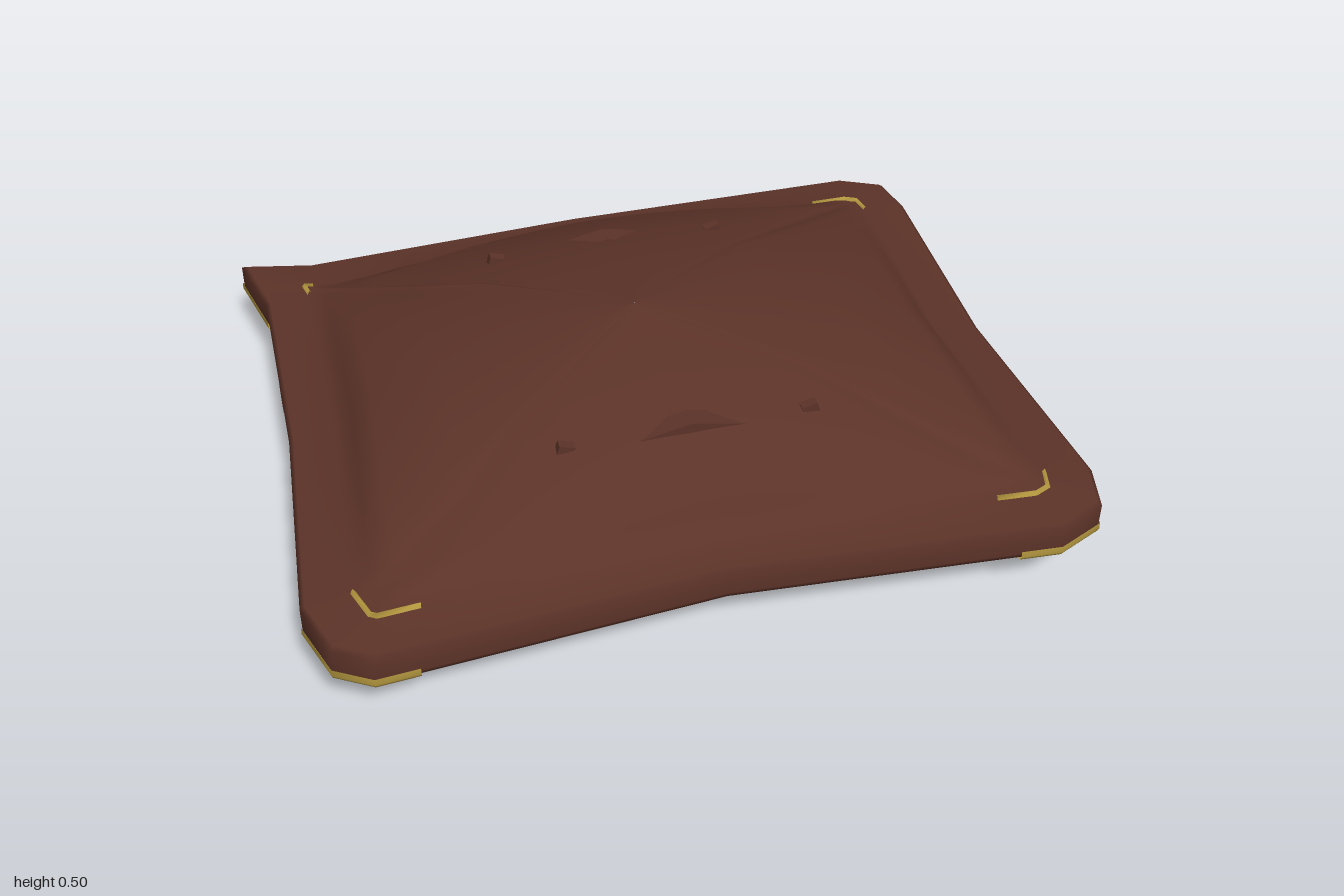
import * as THREE from 'three';

const leather = new THREE.MeshStandardMaterial({ color: 0x5c3328, side: THREE.DoubleSide });
leather.name = 'brown leather';
const brass = new THREE.MeshStandardMaterial({ color: 0xb2963e, side: THREE.DoubleSide });
brass.name = 'brass';

// Outer edge of the cover as [x, z], clockwise from above
const CORNERS = [
  [-1, -0.84], [-0.8, -0.795], [0, -0.84], [0.86, -0.84], [0.98, -0.78], [1, -0.65],
  [0.965, 0], [1, 0.65], [0.965, 0.78], [0.84, 0.835], [0, 0.77], [-0.86, 0.835],
  [-0.95, 0.78], [-1, 0.63], [-0.955, 0], [-0.95, -0.62],
].map(([x, z]) => new THREE.Vector2(x, z));

// Subdivided edge, each point with a mitred inward direction
function makeOutline() {
  const n = CORNERS.length;
  const normal = (a, b) => new THREE.Vector2(-(b.y - a.y), b.x - a.x).normalize();
  const miters = CORNERS.map((p, i) => {
    const n1 = normal(CORNERS[(i + n - 1) % n], p);
    const n2 = normal(p, CORNERS[(i + 1) % n]);
    const m = n1.clone().add(n2).normalize();
    return m.divideScalar(Math.max(m.dot(n1), 0.5));
  });
  const out = [];
  CORNERS.forEach((p, i) => {
    const j = (i + 1) % n;
    const steps = Math.ceil(p.distanceTo(CORNERS[j]) / 0.11);
    for (let k = 0; k < steps; k++) {
      const t = k / steps;
      out.push({ p: p.clone().lerp(CORNERS[j], t), m: miters[i].clone().lerp(miters[j], t) });
    }
  });
  return out;
}

const inset = ({ p, m }, d, y) => new THREE.Vector3(p.x + m.x * d, y, p.y + m.y * d);

// The underside hangs lower along the back
const bottomAt = ({ p }) => 0.145 - (p.y < -0.7 && Math.abs(p.x) < 0.9 ? 0.032 : 0);

// Skin rows of points into a smooth surface
function skin(rows, closed) {
  const w = rows[0].length;
  const pos = rows.flat().flatMap((v) => [v.x, v.y, v.z]);
  const idx = [];
  const last = closed ? rows.length : rows.length - 1;
  for (let i = 0; i < last; i++) {
    const r = i * w;
    const s = ((i + 1) % rows.length) * w;
    for (let j = 0; j < w - 1; j++) {
      idx.push(r + j, r + j + 1, s + j, s + j, r + j + 1, s + j + 1);
    }
  }
  const g = new THREE.BufferGeometry();
  g.setAttribute('position', new THREE.Float32BufferAttribute(pos, 3));
  g.setIndex(idx);
  g.computeVertexNormals();
  return g;
}

// Dome rings: distance from centre, height at mid-sides, height at corners
const DOME = [
  [0.94, 0.3, 0.25], [0.87, 0.355, 0.27], [0.65, 0.41, 0.345],
  [0.43, 0.45, 0.425], [0.2, 0.48, 0.47], [0.002, 0.5, 0.5],
];

function domeRow(o) {
  const edge = inset(o, 0.12, 0.235);
  const a = Math.abs(edge.x / 0.87);
  const b = Math.abs(edge.z / 0.72);
  const corner = (Math.min(a, b) / Math.max(a, b)) ** 2;
  return DOME.map(([t, mid, low]) => new THREE.Vector3(
    edge.x * t - 0.03 * (1 - t), THREE.MathUtils.lerp(mid, low, corner), edge.z * t + 0.01 * (1 - t)));
}

// Flat bar of even thickness following a path in the x-y plane
function bar(path, thick, depth) {
  const pts = path.map(([x, y]) => new THREE.Vector2(x, y));
  const side = (s) => pts.map((p, i) => {
    const d = pts[Math.min(i + 1, pts.length - 1)].clone().sub(pts[Math.max(i - 1, 0)]).normalize();
    return new THREE.Vector2(p.x - d.y * s, p.y + d.x * s);
  });
  const shape = new THREE.Shape([...side(thick / 2), ...side(-thick / 2).reverse()]);
  return new THREE.ExtrudeGeometry(shape, { depth, bevelEnabled: false }).translate(0, 0, -depth / 2);
}

export function createModel() {
  const model = new THREE.Group();
  const add = (name, geometry, material, parent = model) => {
    const mesh = new THREE.Mesh(geometry, material);
    mesh.name = name;
    parent.add(mesh);
    return mesh;
  };
  const outline = makeOutline();

  // Domed cover with its thick rim
  add('cover', skin(outline.map((o) => [
    inset(o, 0.14, 0.228), inset(o, 0.14, bottomAt(o)), inset(o, 0.005, bottomAt(o)),
    inset(o, 0, 0.16), inset(o, 0, 0.225), inset(o, 0.012, 0.235), inset(o, 0.12, 0.235),
    ...domeRow(o),
  ]), true), leather);

  // Brass corner guards wrapped under the rim
  for (const [cx, cz] of [[-0.95, -0.8], [0.95, -0.8], [0.95, 0.8], [-0.95, 0.8]]) {
    const c = new THREE.Vector2(cx, cz);
    const n = outline.length;
    let near = 0;
    outline.forEach((o, i) => { if (o.p.distanceTo(c) < outline[near].p.distanceTo(c)) near = i; });
    const part = [];
    for (let k = -6; k <= 6; k++) {
      const o = outline[(near + k + n) % n];
      if (o.p.distanceTo(c) < 0.24) part.push(o);
    }
    add('cornerGuard', skin(part.map((o) => [
      inset(o, 0.115, 0.225), inset(o, 0.125, 0.248), inset(o, 0.146, 0.22),
      inset(o, 0.146, bottomAt(o) - 0.004), inset(o, 0, bottomAt(o) - 0.004),
      inset(o, -0.004, 0.15), inset(o, -0.003, 0.168),
    ]), false), brass);
  }

  // Three frames: a bent roof beam and a pair of curved arms with end stops
  const beam = bar([[-0.87, 0.19], [-0.5, 0.3], [0, 0.408], [0.5, 0.3], [0.87, 0.19]], 0.045, 0.055);
  const curve = new THREE.CatmullRomCurve3([
    [0.94, 0.035], [0.84, 0.028], [0.73, 0.03], [0.62, 0.052], [0.52, 0.105], [0.42, 0.19], [0.35, 0.29], [0.31, 0.41],
  ].map(([x, y]) => new THREE.Vector3(x, y, 0)));
  const arm = bar(curve.getPoints(14).map((v) => [v.x, v.y]), 0.042, 0.026);
  const stop = new THREE.BoxGeometry(0.022, 0.066, 0.046);
  for (const z of [-0.43, 0, 0.42]) {
    const frame = new THREE.Group();
    frame.name = 'frame';
    frame.position.z = z;
    add('roofBeam', beam, leather, frame);
    for (const s of [1, -1]) {
      const half = new THREE.Group();
      half.name = s > 0 ? 'leftArm' : 'rightArm';
      half.rotation.y = s > 0 ? 0 : Math.PI;
      add('curvedArm', arm, leather, half);
      add('endStop', stop, leather, half).position.set(0.94, 0.036, 0);
      frame.add(half);
    }
    model.add(frame);
  }
  return model;
}
